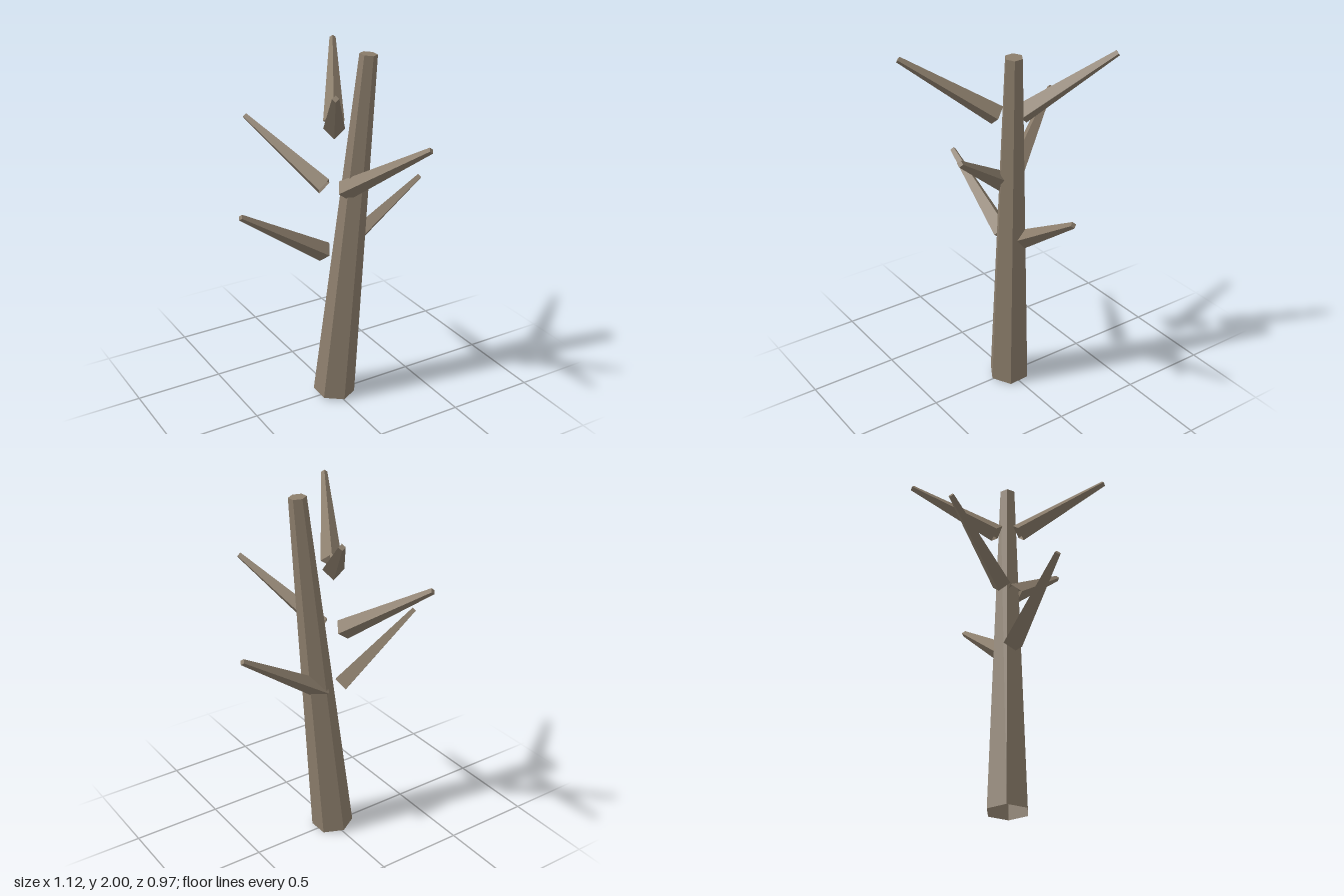
import * as THREE from 'three';

const bark = new THREE.MeshStandardMaterial({
  color: 0x8b7d6b, flatShading: true, side: THREE.DoubleSide,
});

// Tapered limb standing on its origin: hollow at the base, closed at the tip
function limb(name, baseRadius, tipRadius, length, sides) {
  const profile = [
    new THREE.Vector2(baseRadius, 0),
    new THREE.Vector2(tipRadius, length),
    new THREE.Vector2(0, length),
  ];
  const mesh = new THREE.Mesh(new THREE.LatheGeometry(profile, sides), bark);
  mesh.name = name;
  return mesh;
}

export function createModel() {
  const tree = new THREE.Group();
  tree.name = 'deadTree';

  // Leaning six-sided trunk
  const base = new THREE.Vector3(0, 0.012, 0);
  const axis = new THREE.Vector3(0.155, 1.995, 0.08).sub(base);
  const trunk = limb('trunk', 0.117, 0.047, axis.length(), 6);
  trunk.position.copy(base);
  trunk.quaternion.setFromUnitVectors(new THREE.Vector3(0, 1, 0), axis.normalize());
  tree.add(trunk);

  // Three tiers of opposite branches, each tier turned by a sixth of a circle
  for (let tier = 0; tier < 3; tier++) {
    for (let side = 0; side < 2; side++) {
      const angle = -tier * Math.PI / 3 + side * Math.PI;
      const branch = limb(`branch${tier * 2 + side + 1}`, 0.056, 0.017, 0.584, 4);
      branch.position.set(0.06 * Math.cos(angle), 0.91 + tier * 0.357, -0.06 * Math.sin(angle));
      branch.rotation.set(0, angle, -1);
      tree.add(branch);
    }
  }
  return tree;
}
